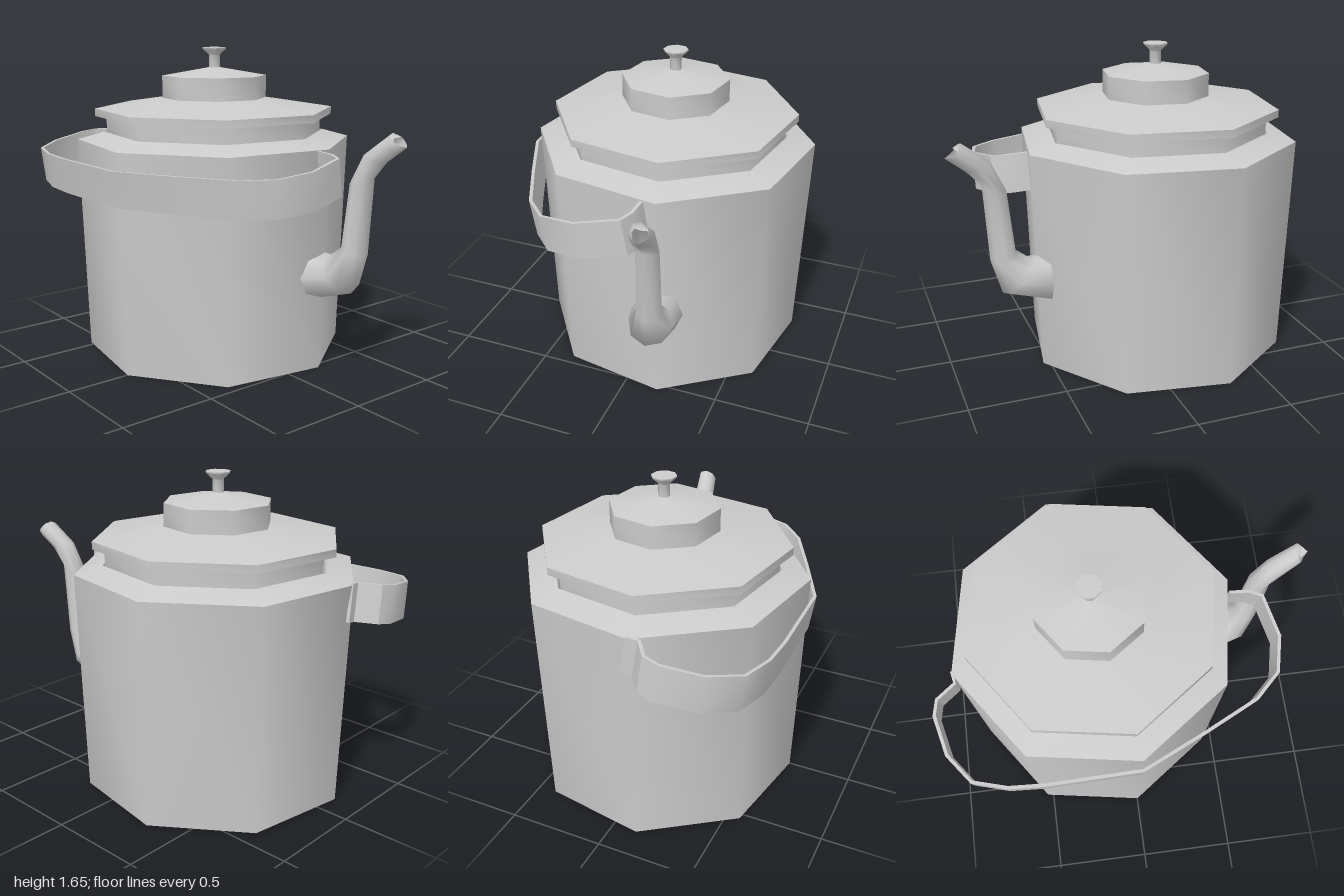
import * as THREE from 'three';
import { toCreasedNormals } from 'three/addons/utils/BufferGeometryUtils.js';

const AXIS_X = -0.155, AXIS_Z = -0.027, TURN = 0.223;
const material = new THREE.MeshStandardMaterial({ color: 0xcccccc, side: THREE.DoubleSide });

function part(name, geometry) {
  const mesh = new THREE.Mesh(geometry, material);
  mesh.name = name;
  return mesh;
}

// Eight-sided turned part: smooth around, sharp along the profile
function turned(name, profile) {
  const points = profile.map(([r, y]) => new THREE.Vector2(r, y));
  const mesh = part(name, toCreasedNormals(new THREE.LatheGeometry(points, 8, TURN), 0.87));
  mesh.position.set(AXIS_X, 0, AXIS_Z);
  return mesh;
}

// Skin through closed rings of points, optionally closing both ends
function loft(rings, capped) {
  const n = rings[0].length, last = (rings.length - 1) * n, index = [];
  for (let i = 0; i < rings.length - 1; i++) {
    for (let j = 0; j < n; j++) {
      const a = i * n + j, b = i * n + (j + 1) % n;
      index.push(a, b, a + n, b, b + n, a + n);
    }
  }
  if (capped) {
    for (let j = 1; j < n - 1; j++) {
      index.push(0, j + 1, j, last, last + j, last + j + 1);
    }
  }
  const geometry = new THREE.BufferGeometry().setFromPoints(rings.flat());
  geometry.setIndex(index);
  geometry.computeVertexNormals();
  return geometry;
}

// Bent spout: each ring is upper x,y, lower x,y, centre z, half width
function makeSpout() {
  const sections = [
    [0.50, 0.635, 0.50, 0.375, -0.178, 0.135],
    [0.59, 0.625, 0.74, 0.455, -0.200, 0.115],
    [0.67, 0.69, 0.80, 0.65, -0.222, 0.068],
    [0.705, 1.01, 0.825, 1.05, -0.230, 0.060],
    [0.78, 1.17, 0.90, 1.13, -0.240, 0.055],
    [0.92, 1.278, 0.965, 1.185, -0.262, 0.052],
    [0.96, 1.262, 1.00, 1.215, -0.275, 0.042],
  ];
  const rings = sections.map(([ux, uy, lx, ly, z, w], i) => {
    const notch = i === sections.length - 1 ? 0.03 : 0;
    return Array.from({ length: 8 }, (_, k) => {
      const c = Math.cos(k * Math.PI / 4), s = Math.sin(k * Math.PI / 4);
      return new THREE.Vector3(
        (ux + lx) / 2 + c * (ux - lx) / 2 - notch * Math.abs(s),
        (uy + ly) / 2 + c * (uy - ly) / 2,
        z + s * w);
    });
  });
  return part('spout', loft(rings, false));
}

// Strap handle: plan of x, z points, rising and leaning towards its two ends
function makeHandle() {
  const plan = [
    [0.57, -0.13], [0.67, -0.125], [0.745, -0.09], [0.80, 0.13], [0.76, 0.32],
    [0.63, 0.445], [0.33, 0.59], [0.01, 0.735], [-0.48, 0.745], [-0.66, 0.735],
    [-0.835, 0.685], [-0.945, 0.54], [-0.99, 0.34], [-0.97, 0.255], [-0.875, 0.185],
    [-0.885, 0.13],
  ];
  const fx = Math.sin(TURN), fz = Math.cos(TURN);
  const thickness = 0.017, lean = 0.03, height = 0.19;
  const rings = plan.map(([x, z], i) => {
    const p = plan[Math.max(i - 1, 0)], q = plan[Math.min(i + 1, plan.length - 1)];
    const length = Math.hypot(q[0] - p[0], q[1] - p[1]);
    const nx = (q[1] - p[1]) / length, nz = -(q[0] - p[0]) / length;
    const depth = fx * (x - AXIS_X) + fz * (z - AXIS_Z);
    const y = 1.077 + 0.09 * Math.pow(Math.max(0, (0.77 - depth) / 0.73), 1.4);
    const corner = (inward, down) => new THREE.Vector3(
      x - nx * inward - fx * lean * down,
      y - height * down,
      z - nz * inward - fz * lean * down);
    return [corner(0, 1), corner(0, 0), corner(thickness, 0), corner(thickness, 1)];
  });
  return part('handle', toCreasedNormals(loft(rings, true), 0.7));
}

export function createModel() {
  const kettle = new THREE.Group();
  kettle.name = 'kettle';
  kettle.add(
    turned('body', [[0, 0], [0.708, 0], [0.745, 1.165], [0.6, 1.205]]),
    turned('neck', [[0.587, 1.19], [0.587, 1.29]]),
    turned('lid', [[0.55, 1.29], [0.649, 1.29], [0.649, 1.33], [0.283, 1.385],
      [0.283, 1.505], [0.02, 1.55]]),
    turned('knob', [[0.03, 1.54], [0.03, 1.615], [0.065, 1.648], [0.065, 1.655], [0, 1.655]]),
    makeSpout(),
    makeHandle());
  return kettle;
}
